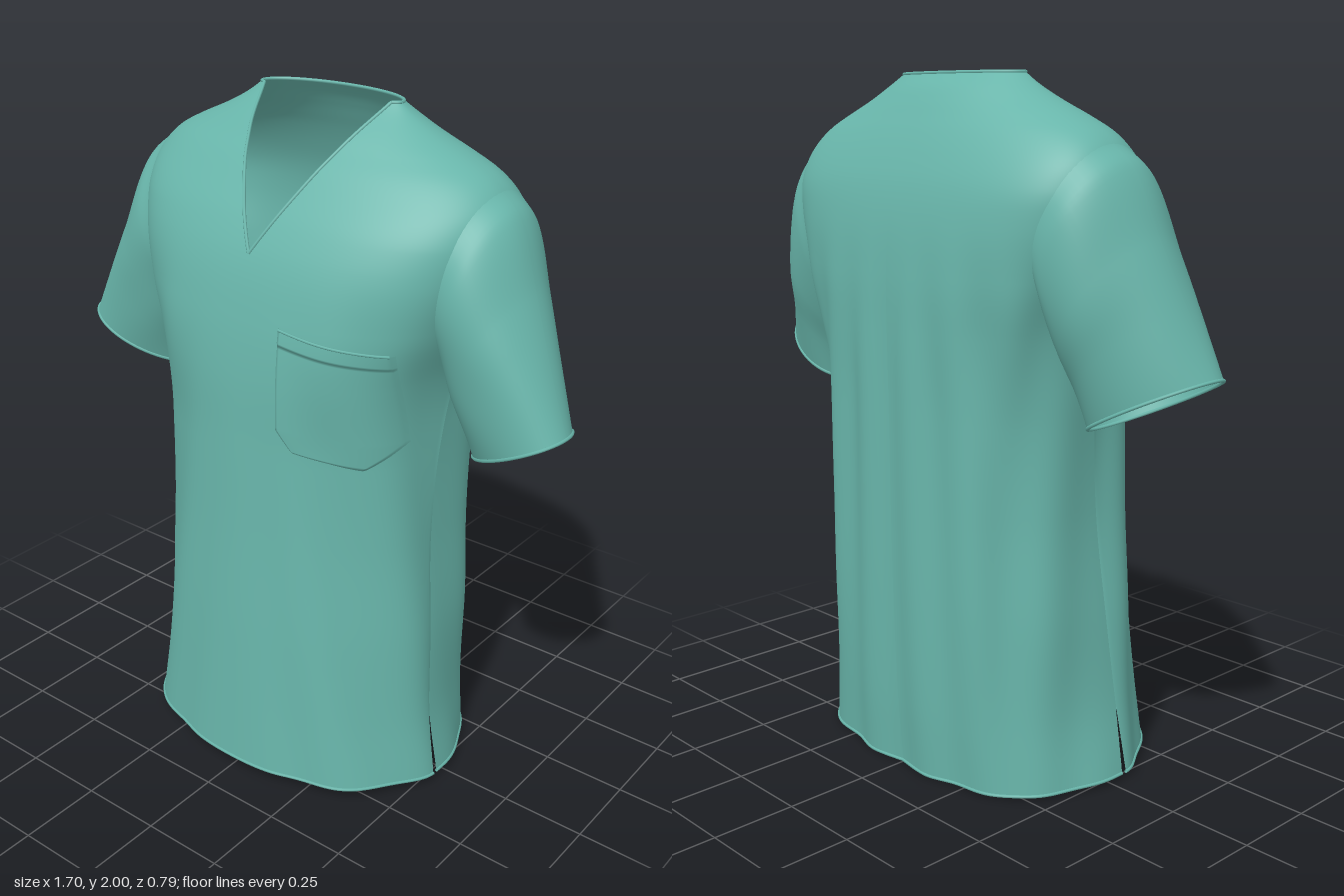
import * as THREE from 'three';

const fabric = new THREE.MeshStandardMaterial({ color: 0x68b5aa, side: THREE.DoubleSide });
fabric.name = 'tealFabric';

const V_BOTTOM = 1.62, TOP = 1.995, SLIT = 0.22;
const ARM = { y: 1.56, z: -0.088, ry: 0.25, rz: 0.21 }; // armhole ellipse seen from the side
const HALF_PI = Math.PI / 2;
const smooth = THREE.MathUtils.smoothstep;

// Cubic interpolation through rows of [key, ...values]
function profile(rows) {
  const n = rows[0].length - 1;
  const f = new THREE.CubicInterpolant(rows.map(r => r[0]), rows.flatMap(r => r.slice(1)), n, new Float32Array(n));
  return t => f.evaluate(t);
}

// Torso slices: height, half width, side seam z, front z, back z
const torso = profile([
  [0, 0.518, 0.05, 0.39, -0.352],
  [0.2, 0.49, 0.045, 0.382, -0.368],
  [0.5, 0.473, 0.02, 0.37, -0.38],
  [0.8, 0.452, 0, 0.355, -0.385],
  [1.1, 0.455, -0.02, 0.343, -0.387],
  [1.3, 0.478, -0.04, 0.333, -0.387],
  [1.45, 0.525, -0.06, 0.312, -0.384],
  [1.6, 0.575, -0.075, 0.273, -0.37],
  [1.7, 0.592, -0.085, 0.225, -0.348],
  [1.78, 0.582, -0.09, 0.172, -0.318],
  [1.84, 0.53, -0.09, 0.128, -0.29],
  [1.88, 0.455, -0.09, 0.092, -0.268],
  [1.92, 0.365, -0.09, 0.055, -0.245],
  [1.96, 0.29, -0.09, 0.008, -0.217],
  [2, 0.232, -0.085, -0.05, -0.175],
]);

// Sleeve rings: t, outer x y, inner x y, centre z, half depth
const sleeve = profile([
  [0, 0.565, ARM.y + ARM.ry, 0.478, ARM.y - ARM.ry, ARM.z, ARM.rz],
  [0.15, 0.624, 1.755, 0.476, 1.285, -0.086, 0.212],
  [0.45, 0.7, 1.565, 0.487, 1.22, -0.077, 0.194],
  [0.72, 0.77, 1.4, 0.505, 1.15, -0.062, 0.163],
  [1, 0.848, 1.222, 0.53, 1.062, -0.05, 0.13],
]);

// Exponents that make the slices boxier around the armholes and across the back
const boxy = y => smooth(y, 1.05, 1.45) * (1 - smooth(y, 1.68, 1.9));
const frontPower = y => 1 - 0.2 * boxy(y);
const backPower = y => 0.7 - 0.08 * boxy(y) + 0.3 * smooth(y, 1.65, 2);

// Angle of the front point at a given x
const angleAtX = (x, y) => Math.asin(Math.min(0.99, Math.pow(x / torso(y)[0], 1 / frontPower(y))));

// Angle of the side point at a given z
function angleAtZ(z, y) {
  const [, zc, zf, zb] = torso(y);
  return z > zc
    ? Math.acos(Math.pow((z - zc) / (zf - zc), 1 / frontPower(y)))
    : Math.PI - Math.acos(Math.pow((zc - z) / (zc - zb), 1 / backPower(y)));
}

// Cloth folds, as an outward shift; a runs from front (0) over the side to the back (PI)
function fold(a, y, x, s) {
  const drape = 1 - smooth(y, 1.1, 1.65);
  const facing = Math.sqrt(Math.abs(Math.cos(a)));
  let d = 0.007 * drape * Math.sin(a) * Math.sin(9 * a + 4 * y + 0.4 * s * Math.sin(2 * a));
  if (a > HALF_PI) d -= 0.009 * drape * facing * Math.cos(2 * Math.PI * x / 0.18 * (0.8 + 0.2 * y));
  else d += 0.009 * drape * facing * smooth(x, 0.1, 0.35) * Math.sin(24 * (x + 0.22 * y));
  return d;
}

function torsoPoint(a, y, s) {
  const [hw, zc, zf, zb] = torso(y);
  const back = a > HALF_PI;
  const p = back ? backPower(y) : frontPower(y);
  const c = Math.pow(Math.abs(Math.cos(a)), p);
  const x = hw * Math.pow(Math.max(Math.sin(a), 0), p);
  const z = back ? -c * (zc - zb) : c * (zf - zc);
  const k = 1 + fold(a, y, x, s) / 0.42;
  const lift = 0.015 * (1 + Math.cos(a)) * Math.max(0, 1 - y / 0.4);
  return new THREE.Vector3(s * x * k, y + lift, zc + z * k);
}

const heightAt = v => v < 2 / 3 ? V_BOTTOM * v * 1.5 : V_BOTTOM + (TOP - V_BOTTOM) * (v - 2 / 3) * 3;

// Quarter panels; the front is cut by the V, and the side edges part below the top of the slit
function frontPanel(s) {
  return (u, v) => {
    const y = heightAt(v), a0 = angleAtX(Math.max(0, y - V_BOTTOM) / 0.38 * 0.222, y);
    const p = torsoPoint(a0 + (HALF_PI - a0) * u, y, s);
    p.z += 0.008 * Math.max(0, 1 - y / SLIT) * Math.pow(u, 10);
    return p;
  };
}
function backPanel(s) {
  return (u, v) => {
    const y = heightAt(v);
    const p = torsoPoint(HALF_PI * (1 + u), y, s);
    p.z -= 0.008 * Math.max(0, 1 - y / SLIT) * Math.pow(1 - u, 10);
    return p;
  };
}

// Opening in the torso, just inside the sleeve seam
const armhole = p => Math.abs(p.x) > 0.4
  && Math.hypot((p.y - ARM.y) / ARM.ry, (p.z - ARM.z) / ARM.rz) < 0.82;

// The sleeve starts on the torso surface and eases into its own rings
function sleevePoint(s) {
  return (u, t) => {
    const [ox, oy, ix, iy, zc, zh] = sleeve(t);
    const phi = u * 2 * Math.PI, c = Math.cos(phi), sn = Math.sin(phi);
    const k = 1 + 0.016 * Math.sin(Math.PI * t) * Math.sin(5 * phi + 5 * t);
    const ring = new THREE.Vector3(
      s * ((ox + ix) / 2 + c * k * (ox - ix) / 2),
      (oy + iy) / 2 + c * k * (oy - iy) / 2,
      zc + sn * zh * k + 0.05 * t * c);
    const y = ARM.y + ARM.ry * c;
    const seam = torsoPoint(angleAtZ(ARM.z + ARM.rz * sn, y), y, s);
    const start = new THREE.Vector3(s * (0.5215 + 0.0435 * c), y, ARM.z + ARM.rz * sn);
    return ring.addScaledVector(seam.sub(start), 1 - smooth(t, 0, 0.6));
  };
}

// Surface patch with smooth normals taken from the rule itself; cells inside a hole are left out
function patch(name, fn, nu, nv, s = 1, hole = () => false) {
  const pos = [], nor = [], idx = [], e = 0.004;
  for (let j = 0; j <= nv; j++) for (let i = 0; i <= nu; i++) {
    const u = i / nu, v = j / nv;
    const du = fn(Math.min(1, u + e), v).sub(fn(Math.max(0, u - e), v));
    const dv = fn(u, Math.min(1, v + e)).sub(fn(u, Math.max(0, v - e)));
    const p = fn(u, v);
    pos.push(...p.toArray());
    nor.push(...du.cross(dv).normalize().multiplyScalar(s).toArray());
    if (i < nu && j < nv && !hole(p)) {
      const a = j * (nu + 1) + i, b = a + 1, c = a + nu + 1, d = c + 1;
      if (s > 0) idx.push(a, b, d, a, d, c);
      else idx.push(a, d, b, a, c, d);
    }
  }
  const g = new THREE.BufferGeometry();
  g.setAttribute('position', new THREE.Float32BufferAttribute(pos, 3));
  g.setAttribute('normal', new THREE.Float32BufferAttribute(nor, 3));
  g.setIndex(idx);
  const mesh = new THREE.Mesh(g, fabric);
  mesh.name = name;
  return mesh;
}

// Rolled fabric edge along a sampled path
function edge(name, n, at, closed = false, r = 0.005) {
  const pts = Array.from({ length: closed ? n : n + 1 }, (_, i) => at(i / n));
  const g = new THREE.TubeGeometry(new THREE.CatmullRomCurve3(pts, closed), n * 2, r, 6, closed);
  const mesh = new THREE.Mesh(g, fabric);
  mesh.name = name;
  return mesh;
}

// Chest pocket lying on the front, with chamfered lower corners and a top band
function pocketPoint(u, v) {
  const rise = Math.min(1, v / 0.2);
  const x = THREE.MathUtils.lerp(0.19 - 0.055 * rise, 0.35 + 0.085 * rise, u);
  const y = THREE.MathUtils.lerp(1.095 - 0.04 * u, 1.452 - 0.045 * u, v);
  const p = torsoPoint(angleAtX(x, y), y, 1);
  const rim = smooth(Math.min(u, 1 - u, v), 0, 0.03);
  p.z += -0.004 + rim * (0.012 + 0.006 * Math.sin(Math.PI * u) + (v > 0.88 ? 0.003 : 0));
  return p;
}

export function createModel() {
  const group = new THREE.Group();
  group.name = 'vNeckTop';
  for (const s of [1, -1]) {
    const side = s > 0 ? 'left' : 'right';
    const front = frontPanel(s), back = backPanel(s), arm = sleevePoint(s);
    group.add(
      patch(side + 'FrontPanel', front, 48, 90, s, armhole),
      patch(side + 'BackPanel', back, 48, 90, s, armhole),
      patch(side + 'Sleeve', arm, 64, 36, s),
      edge(side + 'FrontHem', 24, t => front(t, 0)),
      edge(side + 'BackHem', 24, t => back(t, 0)),
      edge(side + 'Cuff', 40, t => arm(t, 1), true),
      edge(side + 'NeckEdge', 24, t => front(0, 2 / 3 + t / 3)),
      edge(side + 'CollarBack', 24, t => back(t, 1)),
      edge(side + 'CollarShoulder', 6, t => front(t, 1)),
    );
  }
  group.add(patch('chestPocket', pocketPoint, 40, 50));
  group.add(edge('pocketTop', 16, t => pocketPoint(0.03 + 0.94 * t, 1), false, 0.004));
  return group;
}
